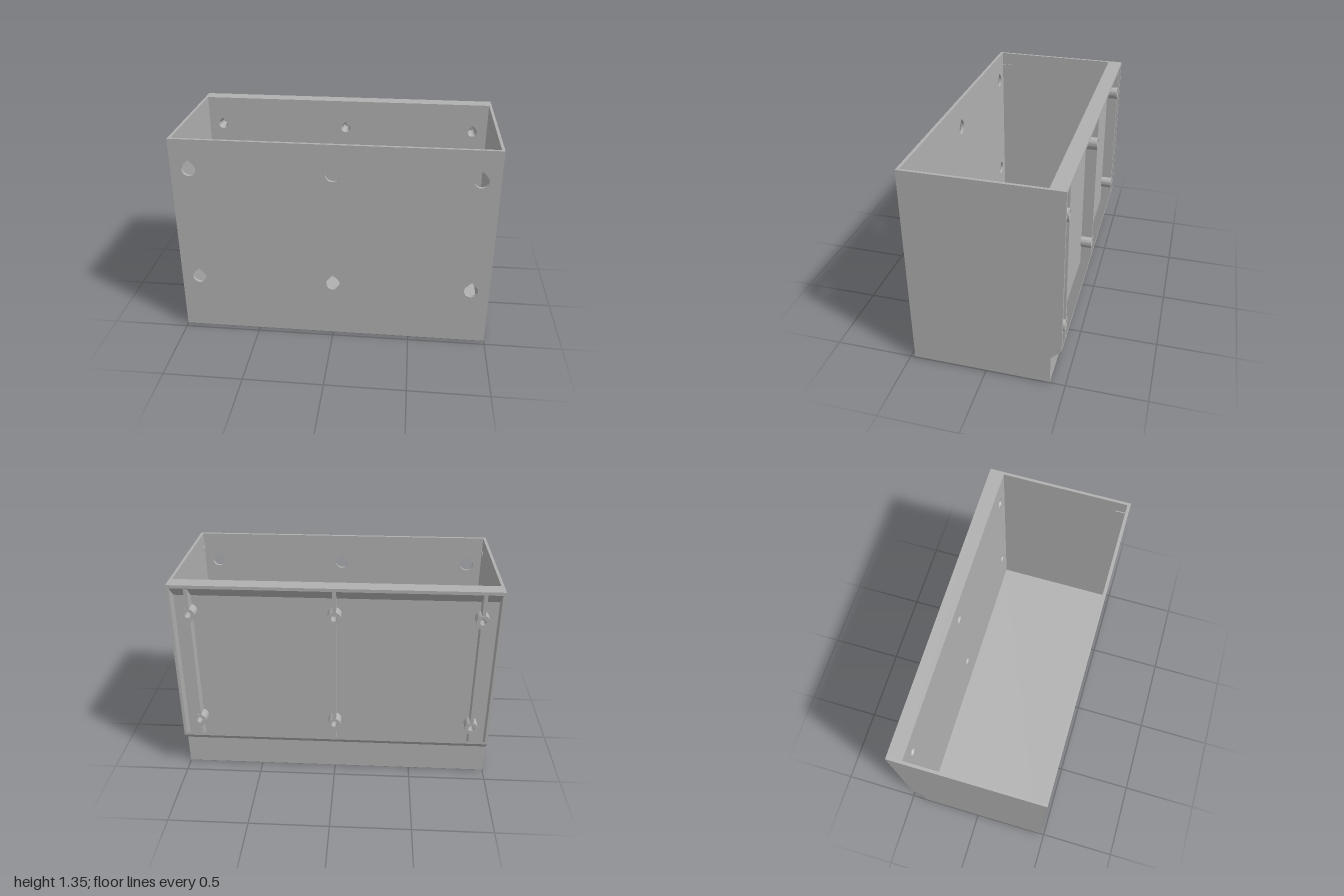
import * as THREE from 'three';
import { toCreasedNormals } from 'three/addons/utils/BufferGeometryUtils.js';

const H = 1.345, BACK = -0.47, FRONT = 0.47, WALL = 0.018, BEVEL = 0.006;
const PANEL_IN = -0.375, PANEL_OUT = -0.395;
const HOLE_X = [-0.885, 0, 0.885], HOLE_Y = [0.385, 1.15];

// Teardrop outline: a circle with a 90 degree point up (dir = 1) or down (dir = -1)
function teardrop(r, cx = 0, cy = 0, dir = 1, n = 48) {
  const pts = [];
  for (let i = 0; i < n; i++) {
    const t = (i / n) * Math.PI * 2;
    const off = Math.acos(THREE.MathUtils.clamp(Math.sin(t) * dir, -1, 1));
    const rad = off < Math.PI / 4 ? r / Math.cos(Math.PI / 4 - off) : r;
    pts.push(new THREE.Vector2(cx + rad * Math.cos(t), cy + rad * Math.sin(t)));
  }
  return pts;
}

// Upright plate with a teardrop hole at every screw position
function drilledPlate(halfW, y0, y1, z0, z1, r) {
  const shape = new THREE.Shape([
    new THREE.Vector2(-halfW, y0), new THREE.Vector2(halfW, y0),
    new THREE.Vector2(halfW, y1), new THREE.Vector2(-halfW, y1),
  ]);
  for (const x of HOLE_X) for (const y of HOLE_Y) shape.holes.push(new THREE.Path(teardrop(r, x, y)));
  const geo = new THREE.ExtrudeGeometry(shape, { depth: z1 - z0, bevelEnabled: false });
  geo.translate(0, 0, z0);
  return toCreasedNormals(geo, 0.5);
}

// Side profile given as [z, y] points, extruded across x around cx
function profile(points, width, cx = 0) {
  const shape = new THREE.Shape(points.map(([z, y]) => new THREE.Vector2(z, y)));
  const geo = new THREE.ExtrudeGeometry(shape, { depth: width, bevelEnabled: false });
  geo.rotateY(-Math.PI / 2);
  geo.translate(cx + width / 2, 0, 0);
  return geo;
}

// Screw boss: outer skin, rim, bore and countersink joined as one sleeve
function bossGeometry() {
  const loops = [
    [0.042, PANEL_OUT + 0.005, -1], [0.042, BACK, -1],
    [0.019, BACK, 1], [0.019, -0.41, 1], [0.032, PANEL_IN, 1],
  ].map(([r, z, dir]) => teardrop(r, 0, 0, dir).map(p => [p.x, p.y, z]));
  const pos = [];
  for (let k = 0; k < loops.length - 1; k++) {
    const A = loops[k], B = loops[k + 1], n = A.length;
    for (let i = 0; i < n; i++) {
      const j = (i + 1) % n;
      pos.push(...A[i], ...B[i], ...A[j], ...A[j], ...B[i], ...B[j]);
    }
  }
  const geo = new THREE.BufferGeometry();
  geo.setAttribute('position', new THREE.Float32BufferAttribute(pos, 3));
  return toCreasedNormals(geo, 0.5);
}

export function createModel() {
  const group = new THREE.Group();
  group.name = 'wallPlanter';
  const grey = new THREE.MeshStandardMaterial({ color: 0xb0b0b0 });
  grey.name = 'grey';
  const add = (name, geo) => {
    const mesh = new THREE.Mesh(geo, grey);
    mesh.name = name;
    group.add(mesh);
    return mesh;
  };
  const innerW = 2 - 2 * WALL;

  // Bottom edge with a tiny bevel all round, and the floor above it
  const zMid = (FRONT - 0.405) / 2, depth = FRONT + 0.405;
  const base = new THREE.BoxGeometry(2, BEVEL, depth);
  const p = base.attributes.position;
  for (let i = 0; i < p.count; i++) {
    if (p.getY(i) < 0) {
      p.setX(i, p.getX(i) - Math.sign(p.getX(i)) * BEVEL);
      p.setZ(i, p.getZ(i) - Math.sign(p.getZ(i)) * BEVEL);
    }
  }
  base.translate(0, BEVEL / 2, zMid);
  add('bevelledBase', toCreasedNormals(base, 0.3));
  const floor = new THREE.BoxGeometry(innerW, 0.016, depth - 0.04);
  floor.translate(0, 0.012, zMid);
  add('floor', floor);

  // Front wall with screwdriver access holes
  add('frontWall', drilledPlate(1 - WALL, BEVEL, H, 0.45, FRONT, 0.044));

  // End walls following the stepped back
  const endOutline = [
    [FRONT, BEVEL], [FRONT, H], [BACK, H], [BACK, 0.265], [-0.405, 0.2], [-0.405, BEVEL],
  ];
  for (const s of [-1, 1]) {
    add(s > 0 ? 'leftWall' : 'rightWall', profile(endOutline, WALL, s * (1 - WALL / 2)));
    // Small tab in the front corner
    const tab = new THREE.BoxGeometry(0.006, 0.012, 0.065);
    tab.translate(s * (1 - WALL - 0.003), 1.25, 0.4175);
    add('cornerTab', tab);
  }

  // Back: lower skirt with sloping lip, drilled panel, sloping top rim
  add('lowerBack', profile([
    [PANEL_IN, BEVEL], [PANEL_IN, 0.21], [PANEL_OUT, 0.21], [BACK, 0.285],
    [BACK, 0.265], [-0.405, 0.2], [-0.405, BEVEL],
  ], innerW));
  add('backPanel', drilledPlate(1 - WALL, 0.21, 1.25, PANEL_OUT, PANEL_IN, 0.032));
  add('topRim', profile([
    [PANEL_IN, 1.25], [PANEL_IN, H], [BACK, H], [BACK, 1.325], [PANEL_OUT, 1.25],
  ], innerW));

  // Vertical ribs, interrupted by the bosses so the bores stay clear
  const boss = bossGeometry(), gap = 0.035, tip = BACK + 0.001;
  const [yLow, yHigh] = HOLE_Y;
  const ribParts = [
    [[PANEL_OUT, 0.21], [PANEL_OUT, yLow - gap], [tip, yLow - gap], [tip, 0.284]],
    [[PANEL_OUT, yLow + gap], [PANEL_OUT, yHigh - gap], [tip, yHigh - gap], [tip, yLow + gap]],
    [[PANEL_OUT, yHigh + gap], [PANEL_OUT, 1.25], [tip, 1.324], [tip, yHigh + gap]],
  ];
  for (const x of HOLE_X) {
    for (const part of ribParts) add('backRib', profile(part, 0.022, x));
    for (const y of HOLE_Y) add('screwBoss', boss).position.set(x, y, 0);
  }
  return group;
}
